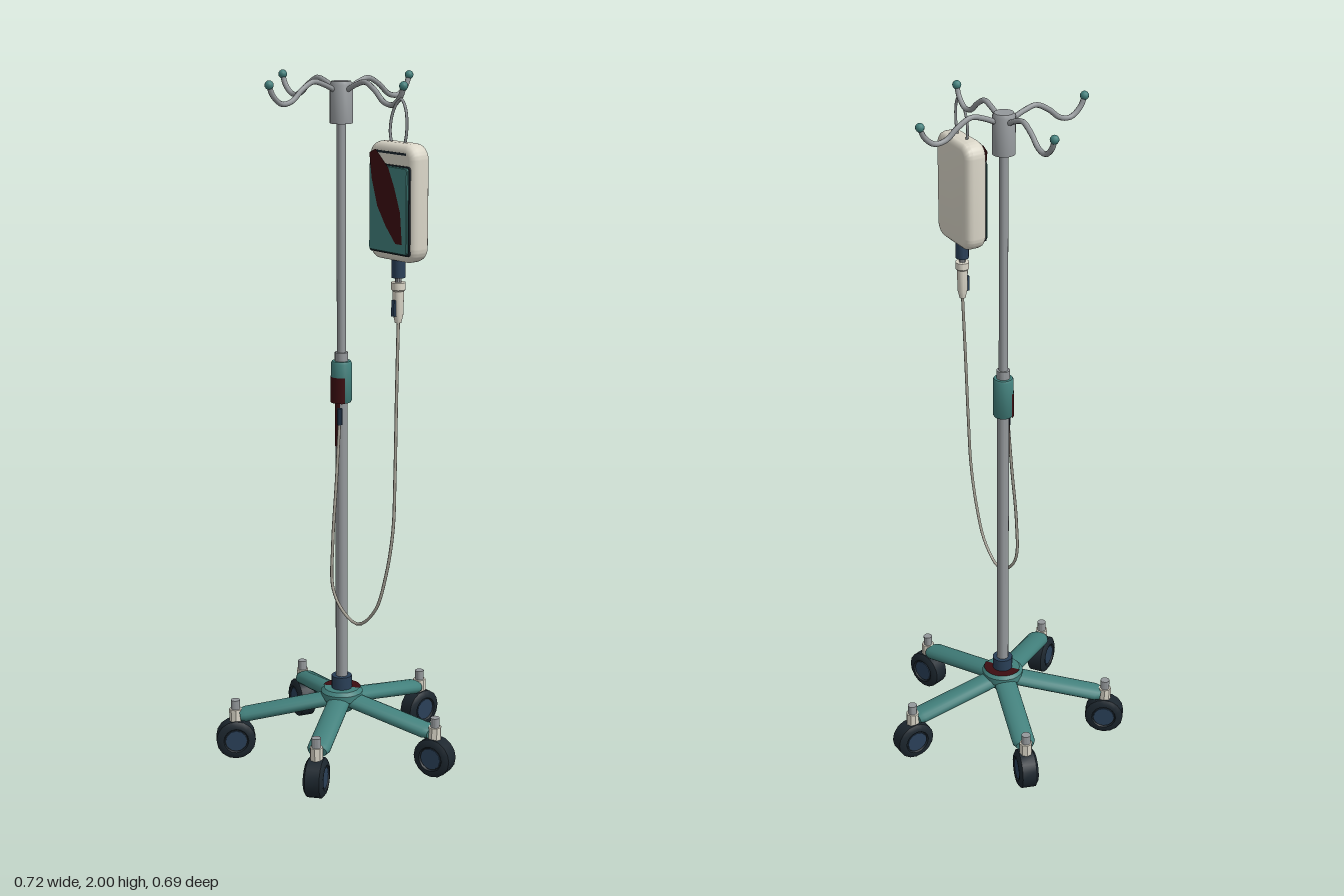
import * as THREE from 'three';
import { toCreasedNormals } from 'three/addons/utils/BufferGeometryUtils.js';

const mat = (color, extra = {}) => new THREE.MeshStandardMaterial({ color, ...extra });
const teal = mat(0x42807c), navy = mat(0x2a4058), dark = mat(0x1c262e);
const cream = mat(0xdad6c8), steel = mat(0x94989b), tubing = mat(0xa8a498);
const stainMat = mat(0x3c0d11, { side: THREE.DoubleSide });

const V = (x, y, z) => new THREE.Vector3(x, y, z);

function add(parent, name, geometry, material, x = 0, y = 0, z = 0) {
  const mesh = new THREE.Mesh(geometry, material);
  mesh.name = name;
  mesh.position.set(x, y, z);
  parent.add(mesh);
  return mesh;
}

// Turned part from [radius, height] pairs, listed bottom to top
function turned(profile, sides = 16) {
  const points = profile.map(([r, y]) => new THREE.Vector2(r, y));
  return toCreasedNormals(new THREE.LatheGeometry(points, sides), 0.6);
}

function rod(r, y0, y1, sides = 16) {
  return turned([[0, y0], [r, y0], [r, y1], [0, y1]], sides);
}

function wire(points, r, steps = 40, sides = 8) {
  return new THREE.TubeGeometry(new THREE.CatmullRomCurve3(points), steps, r, sides);
}

// Rounded rectangle centred on the origin
function roundedRect(w, h, r) {
  const s = new THREE.Shape(), a = w / 2 - r, b = h / 2 - r;
  s.absarc(a, b, r, 0, Math.PI / 2);
  s.absarc(-a, b, r, Math.PI / 2, Math.PI);
  s.absarc(-a, -b, r, Math.PI, Math.PI * 1.5);
  s.absarc(a, -b, r, Math.PI * 1.5, Math.PI * 2);
  s.closePath();
  return s;
}

function slab(shape, depth, bevel, segments = 1) {
  const g = new THREE.ExtrudeGeometry(shape, {
    depth, bevelEnabled: bevel > 0, bevelSize: bevel, bevelThickness: bevel,
    bevelSegments: segments, curveSegments: 6,
  });
  return toCreasedNormals(g, 0.6);
}

// One sloping base leg with its caster, pointing along +x
function makeLeg() {
  const arm = new THREE.Group();
  arm.name = 'baseLeg';
  const beam = turned([[0, 0.01], [0.034, 0.01], [0.034, 0.29], [0.027, 0.306], [0, 0.306]], 16);
  beam.scale(0.62, 1, 1).rotateZ(-Math.PI / 2);
  add(arm, 'legBeam', beam, teal, 0, 0.182, 0).rotation.z = -0.165;

  const R = 0.315;
  add(arm, 'casterStem', rod(0.019, 0.1, 0.152, 8), cream, R);
  add(arm, 'casterPin', rod(0.0135, 0.15, 0.18, 12), steel, R);
  const tyre = turned([[0, -0.024], [0.034, -0.024], [0.037, -0.029], [0.046, -0.029],
    [0.058, -0.021], [0.058, 0.021], [0.046, 0.029], [0.037, 0.029], [0.034, 0.024], [0, 0.024]], 16);
  add(arm, 'casterWheel', tyre.rotateX(Math.PI / 2), dark, R, 0.06);
  add(arm, 'wheelHub', rod(0.031, -0.027, 0.027, 12).rotateX(Math.PI / 2), navy, R, 0.06);
  return arm;
}

function makeStand() {
  const stand = new THREE.Group();
  stand.name = 'stand';
  stand.position.z = 0.028;

  // Wheeled base
  for (let i = 0; i < 5; i++) {
    const leg = makeLeg();
    leg.rotation.y = Math.PI / 2 + i * Math.PI * 0.4;
    stand.add(leg);
  }
  add(stand, 'baseHub', turned([[0, 0.14], [0.03, 0.14], [0.062, 0.18], [0.062, 0.2],
    [0.052, 0.21], [0, 0.21]], 20), teal);
  add(stand, 'baseCollar', rod(0.03, 0.2, 0.248), navy);

  // Telescopic pole and clamp
  add(stand, 'lowerPole', rod(0.0175, 0.2, 1.1), steel);
  add(stand, 'upperPole', rod(0.013, 1.1, 1.89), steel);
  add(stand, 'heightClamp', turned([[0, 1.08], [0.027, 1.08], [0.03, 1.086], [0.03, 1.194],
    [0.027, 1.2], [0, 1.2]]), teal);
  add(stand, 'clampCap', rod(0.019, 1.2, 1.225), steel);

  // Head with four curved hooks
  add(stand, 'hookHead', turned([[0, 1.87], [0.032, 1.87], [0.032, 1.975], [0.027, 1.985], [0, 1.985]]), steel);
  const path = [[0.02, 1.96], [0.065, 1.98], [0.1, 1.988], [0.14, 1.968], [0.175, 1.94],
    [0.21, 1.935], [0.24, 1.958], [0.253, 1.985]].map(([x, y]) => V(x, y, 0));
  for (let i = 0; i < 4; i++) {
    const hook = new THREE.Group();
    hook.name = 'hook';
    hook.rotation.y = i * Math.PI / 2;
    add(hook, 'hookArm', wire(path, 0.0075, 32), steel);
    add(hook, 'hookTip', new THREE.SphereGeometry(0.0125, 12, 8), teal, 0.253, 1.988);
    stand.add(hook);
  }

  // Dark stains on the clamp, pole and base hub
  const shell = (r, y0, y1, arc, r0 = r) => new THREE.CylinderGeometry(r, r0, y1 - y0, 8, 1, true, -arc / 2, arc)
    .translate(0, (y0 + y1) / 2, 0);
  add(stand, 'clampStain', shell(0.0312, 1.08, 1.155, 2.4), stainMat);
  add(stand, 'poleStain', shell(0.0187, 0.95, 1.08, 1.3), stainMat);
  const ring = new THREE.RingGeometry(0.03, 0.056, 20, 1, 0.6, 3.2).rotateX(-Math.PI / 2);
  add(stand, 'hubStain', ring, stainMat, 0, 0.212);
  return stand;
}

function makeBag() {
  const bag = new THREE.Group();
  bag.name = 'fluidBag';
  const cx = 0.248, cy = 1.682, cz = 0.038;

  // Padded case with front panel
  add(bag, 'bagCase', slab(roundedRect(0.145, 0.278, 0.022), 0.025, 0.02, 3), cream, cx, cy, 0.025);
  add(bag, 'panelFrame', slab(roundedRect(0.158, 0.24, 0.008), 0.006, 0), dark, cx, 1.664, 0.067);
  add(bag, 'frontPanel', slab(roundedRect(0.146, 0.228, 0.006), 0.005, 0.002), teal, cx, 1.664, 0.072);
  add(bag, 'topSlot', new THREE.BoxGeometry(0.125, 0.006, 0.004), dark, cx, 1.815, 0.0695);
  const blot = [[0.175, 1.81], [0.2, 1.822], [0.25, 1.777], [0.275, 1.724], [0.298, 1.66], [0.306, 1.575],
    [0.28, 1.575], [0.24, 1.62], [0.207, 1.67], [0.185, 1.74]].map(([x, y]) => new THREE.Vector2(x, y));
  add(bag, 'panelStain', new THREE.ShapeGeometry(new THREE.Shape(blot)), stainMat, 0, 0, 0.0795);

  // Wire loop over the hook
  add(bag, 'hangerLoop', wire([V(0.222, 1.82, cz), V(0.212, 1.87, cz), V(0.222, 1.925, 0.034), V(0.245, 1.953, 0.03),
    V(0.268, 1.93, 0.034), V(0.277, 1.87, cz), V(0.265, 1.82, cz)], 0.004), steel);

  // Outlet and drip chamber
  add(bag, 'outlet', rod(0.019, 1.475, 1.53), navy, cx, 0, cz);
  add(bag, 'outletSpike', rod(0.009, 1.455, 1.48, 10), steel, cx, 0, cz);
  add(bag, 'dripChamber', turned([[0, 1.35], [0.009, 1.35], [0.014, 1.372], [0.016, 1.438],
    [0.02, 1.442], [0.02, 1.462], [0, 1.462]]), cream, cx, 0, cz);
  add(bag, 'chamberWindow', new THREE.BoxGeometry(0.012, 0.045, 0.01), navy, cx, 1.392, cz + 0.015);
  return bag;
}

export function createModel() {
  const model = new THREE.Group();
  model.name = 'infusionStand';
  model.add(makeStand(), makeBag());

  // Drip line hanging from the chamber and back up to the pole
  const line = [V(0.249, 1.36, 0.038), V(0.26, 1.15, 0.053), V(0.273, 0.92, 0.069), V(0.277, 0.77, 0.079),
    V(0.255, 0.63, 0.086), V(0.22, 0.525, 0.093), V(0.155, 0.467, 0.1), V(0.095, 0.49, 0.104),
    V(0.055, 0.55, 0.108), V(0.049, 0.68, 0.104), V(0.041, 0.86, 0.083), V(0.034, 1.04, 0.064)];
  add(model, 'dripLine', wire(line, 0.0045, 80), tubing);
  add(model, 'lineConnector', rod(0.008, 1.025, 1.072, 10), navy, 0.034, 0, 0.064);
  return model;
}
